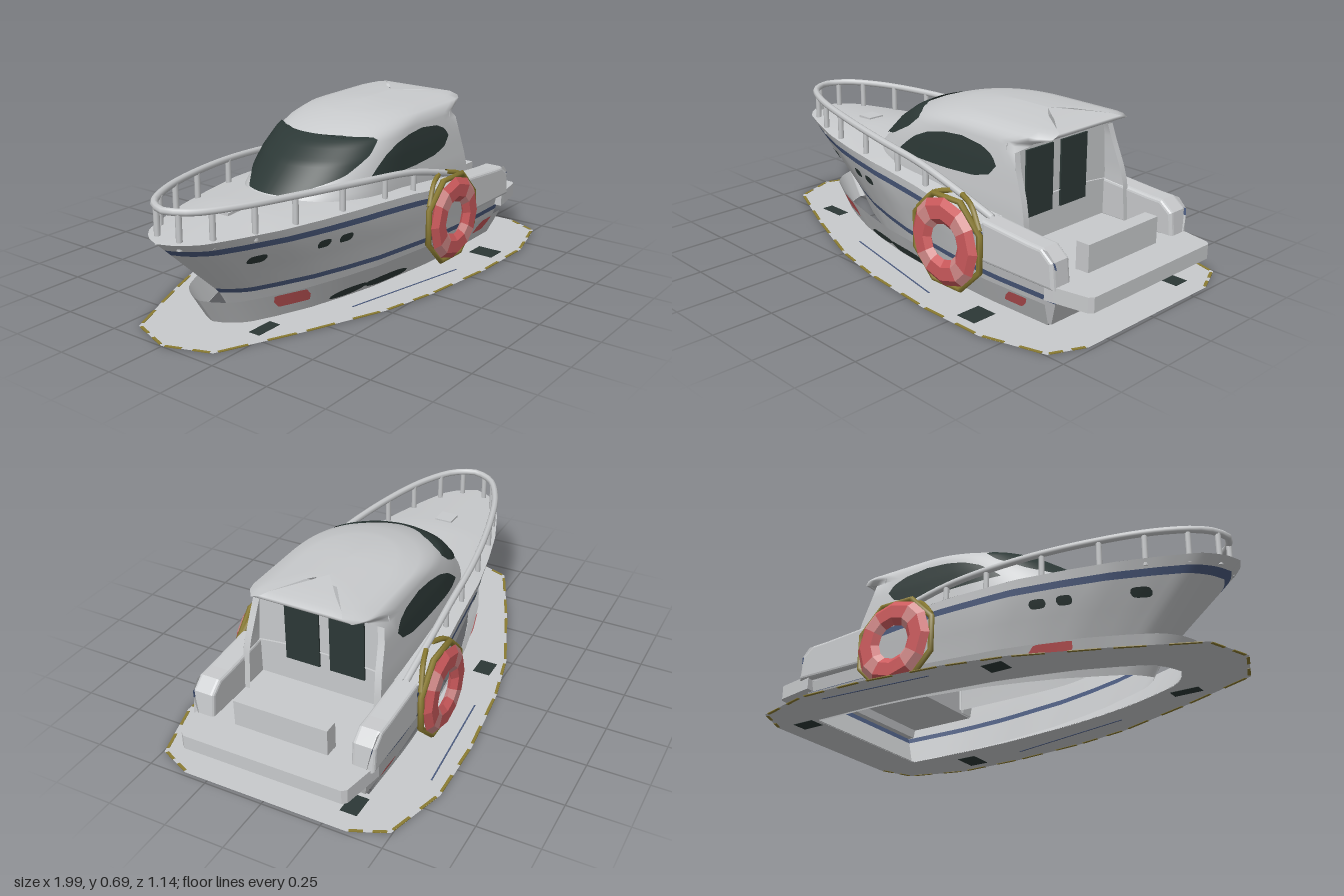
import * as THREE from 'three';

const mat = (name, color) => new THREE.MeshStandardMaterial({ name, color, side: THREE.DoubleSide });
const white = mat('hull white', 0xc8cacc), blue = mat('stripe blue', 0x4c5c80), glass = mat('dark glass', 0x2c3836),
  red = mat('buoy red', 0xcc5a5c), pink = mat('buoy band', 0xd48c8b), olive = mat('rope olive', 0x8a7b32);

// piecewise linear lookup
const table = pts => v => {
  if (v <= pts[0][0]) return pts[0][1];
  for (let i = 1; i < pts.length; i++) if (v <= pts[i][0]) {
    const [a, b] = [pts[i - 1], pts[i]];
    return a[1] + (b[1] - a[1]) * (v - a[0]) / (b[0] - a[0]);
  }
  return pts[pts.length - 1][1];
};
const shape = pts => new THREE.Shape(pts.map(p => new THREE.Vector2(...p)));

// surface defined by level: nose x, tail x, half width and plan curve
const surface = (nose, tail, width, plan) => ({
  width, nose, tail,
  point: (t, y, s) => [nose(y) + (tail(y) - nose(y)) * t, y, s * width(y) * plan(t, y)],
  z: (x, y) => width(y) * plan(Math.min(1, Math.max(0, (x - nose(y)) / (tail(y) - nose(y)))), y),
});

const beam = table([[0, 0], [.012, .14], [.03, .25], [.055, .35], [.12, .48], [.215, .64], [.32, .76], [.43, .86],
  [.645, .97], [.8, 1], [1, .985]]);
const hull = surface(table([[0, -.62], [.11, -.69], [.395, -1]]),
  table([[0, .78], [.2, .855], [.28, .85], [.33, .8]]),
  table([[0, .325], [.11, .352], [.28, .388], [.4, .392]]), (t, y) => Math.pow(beam(t), 1.35 - .9 * y));
const skirt = surface(table([[0, -.73], [.11, -.8]]), table([[0, .775], [.11, .8]]),
  table([[0, .335], [.11, .385]]), t => beam(t));
// blunt nose, with the roof drawn in at its rear corners
const cabinPlan = (t, y) => Math.pow(1 - (1 - Math.min(1, t / .5)) ** 2.6, .52)
  * (y > .6 ? 1 - .16 * Math.max(0, (t - .88) / .12) ** 2 : 1);
const cabin = surface(
  table([[.19, -.4], [.36, -.46], [.42, -.4], [.53, -.28], [.59, -.19], [.63, -.1], [.655, -.02], [.675, .08], [.686, .19], [.69, .28]]),
  table([[.19, .63], [.36, .615], [.42, .6], [.53, .56], [.59, .545], [.625, .59], [.655, .668], [.668, .665], [.68, .61], [.69, .45]]),
  table([[.19, .3], [.36, .3], [.53, .287], [.59, .278], [.63, .27], [.655, .25], [.675, .18], [.686, .08], [.69, 0]]),
  cabinPlan);
const sheer = table([[0, .395], [.25, .388], [.45, .384], [.6, .37], [.8, .33], [1, .32]]);

export function createModel() {
  const model = new THREE.Group();
  const add = (name, geo, material, parent = model) => {
    const m = new THREE.Mesh(geo, material);
    m.name = name;
    parent.add(m);
    return m;
  };
  // sheet of nu by nv cells from a rule (u, v) -> point
  const sheet = (name, material, nu, nv, fn) => {
    const pos = [], idx = [];
    for (let j = 0; j <= nv; j++) for (let i = 0; i <= nu; i++) pos.push(...fn(i / nu, j / nv));
    for (let j = 0; j < nv; j++) for (let i = 0; i < nu; i++) {
      const a = j * (nu + 1) + i, b = a + nu + 1;
      idx.push(a, a + 1, b, a + 1, b + 1, b);
    }
    const g = new THREE.BufferGeometry();
    g.setAttribute('position', new THREE.Float32BufferAttribute(pos, 3));
    g.setIndex(idx);
    g.computeVertexNormals();
    return add(name, g, material);
  };
  const box = (name, material, x0, x1, y0, y1, z0, z1) => {
    const m = add(name, new THREE.BoxGeometry(x1 - x0, y1 - y0, z1 - z0), material);
    m.position.set((x0 + x1) / 2, (y0 + y1) / 2, (z0 + z1) / 2);
  };
  // skin wrapping both sides through the bow
  const band = (name, material, surf, lo, hi, nv) => sheet(name, material, 64, nv, (u, v) => {
    const k = u * 2 - 1, t = k * k;
    return surf.point(t, lo(t) + (hi(t) - lo(t)) * v, Math.sign(k));
  });

  // hull, from keel to gunwale
  band('lowerHull', white, hull, () => 0, () => .105, 2);
  band('waterlineStripe', blue, hull, () => .105, () => .128, 1);
  band('hullSide', white, hull, () => .128, t => sheer(t) - .063, 4);
  band('upperStripe', blue, hull, t => sheer(t) - .063, t => sheer(t) - .036, 1);
  band('gunwale', white, hull, t => sheer(t) - .036, sheer, 1);
  const transom = (name, m, y0, y1) => sheet(name, m, 8, 2, (u, v) => {
    const [x, y, z] = hull.point(1, y0 + (y1 - y0) * v, 1);
    return [x, y, z * (1 - 2 * u)];
  });
  transom('transom', white, 0, .105);
  transom('transomStripe', blue, .105, .135);

  // cambered deck and hatch
  sheet('deck', white, 12, 40, (u, v) => {
    const t = .83 * v * v, k = u * 2 - 1, [x, y, z] = hull.point(t, sheer(t), 1);
    return [x, y + .034 * (1 - k * k) * Math.min(1, t * 4), z * k];
  });
  box('hatch', white, -.668, -.592, .40, .425, -.038, .038);

  // swim platform, cockpit floor, bench and rounded bulwarks
  const plat = shape([[.8, -.385], [.84, -.378], [.975, -.352], [.99, -.335], [.99, .335], [.975, .352], [.84, .378], [.8, .385]]);
  add('swimPlatform', new THREE.ExtrudeGeometry(plat, { depth: .06, bevelEnabled: false }).rotateX(Math.PI / 2), white)
    .position.y = .19;
  box('cockpitFloor', white, .49, .82, .17, .188, -.36, .36);
  box('bench', white, .785, .845, .188, .3, -.2, .2);
  const side = shape([[.5, .19], [.5, .33], [.72, .312], [.78, .31], [.825, .275], [.835, .19]]);
  for (const s of [-1, 1])
    add('bulwark', new THREE.ExtrudeGeometry(side, { depth: .064, bevelSize: .014, bevelThickness: .016, bevelSegments: 3 }), white)
      .position.z = s > 0 ? .311 : -.375;

  // cabin shell, roof and rear bulkhead
  const levels = [.19, .36, .42, .475, .53, .59, .61, .625, .64, .655, .668, .675, .686, .69];
  sheet('cabinShell', white, 64, levels.length - 1, (u, v) => {
    const k = u * 2 - 1;
    return cabin.point(k * k, levels[Math.round(v * (levels.length - 1))], Math.sign(k));
  });
  sheet('roofRearEdge', white, 8, 6, (u, v) => {
    const [x, y, z] = cabin.point(1, .645 + .045 * v, 1);
    return [x, y, z * (1 - 2 * u)];
  });
  sheet('rearBulkhead', white, 4, 16, (u, v) => {
    const y = .19 + .49 * v;
    return [.5, y, cabin.z(.5, y) * (1 - 2 * u)];
  });
  for (const s of [-1, 1]) {
    sheet('cabinRearFrame', white, 1, 12, (u, v) => {
      const y = .19 + .4 * v;
      return [cabin.tail(y), y, s * (cabin.width(y) - .028 * u)];
    });
    box('cabinDoor', glass, .5, .508, .295, .568, s * .098 - .075, s * .098 + .075);
  }

  // windscreen and side windows lie just off the shell
  const screenEnd = table([[.42, -.37], [.45, -.31], [.485, -.19], [.55, -.06], [.6, 0], [.606, -.02], [.614, -.12]]);
  sheet('windscreen', glass, 48, 20, (u, v) => {
    const y = .422 + .192 * v, k = u * 2 - 1, n = cabin.nose(y), x = n + (screenEnd(y) - n) * k * k;
    return [x - .005, y + .005, Math.sign(k) * (cabin.z(x, y) + .004)];
  });
  const winTop = table([[-.1, .46], [-.05, .5], [0, .535], [.08, .57], [.17, .59], [.27, .598], [.38, .585], [.44, .56], [.465, .525]]);
  const winLow = table([[-.1, .46], [0, .453], [.2, .453], [.35, .462], [.43, .485], [.465, .525]]);
  // rounded mark on a skin; slant leans its ends
  const mark = (name, m, surf, s, cx, cy, w, h, pow, slant = 0, off = .005) => sheet(name, m, 16, 2, (u, v) => {
    const k = u * 2 - 1, y = cy + (v - .5) * h * Math.pow(Math.max(0, 1 - Math.abs(k) ** pow), .5);
    const x = cx + k * w / 2 + slant * (y - cy);
    return [x, y, s * (surf.z(x, y) + off)];
  });
  for (const s of [-1, 1]) {
    sheet('sideWindow', glass, 32, 8, (u, v) => {
      const x = -.1 + .565 * u, y = winLow(x) + (winTop(x) - winLow(x)) * v;
      return [x, y, s * (cabin.z(x, y) + .006)];
    });
    for (const [x, w] of [[-.665, .078], [-.385, .062], [-.28, .068]]) for (const off of [.005, -.005])
      mark('porthole', glass, hull, s, x, .275, w, .036, 4, 0, off);
  }
  // scattered marks on the spray skirt
  mark('skirtRedMark', red, skirt, 1, -.51, .077, .15, .058, 12, -.6);
  mark('skirtRedMark', red, skirt, 1, .65, .077, .1, .055, 12, .8);
  mark('skirtDarkMark', glass, skirt, 1, -.23, .028, .18, .034, 3, 1.5);
  mark('skirtDarkMark', glass, skirt, 1, -.02, .028, .26, .036, 3, -1);
  mark('skirtRedMark', red, skirt, -1, -.32, .077, .17, .055, 12, -.6);
  mark('skirtRedMark', red, skirt, -1, .68, .077, .1, .055, 12, 0, -.005);
  mark('skirtDarkMark', glass, skirt, -1, -.64, .04, .11, .034, 4, .6);

  // guard rail with posts
  const railPts = [[-.96, .508, 0], [-.94, .508, .055], [-.9, .508, .105], [-.75, .507, .185], [-.5, .5, .258], [-.2, .483, .313],
    [.1, .452, .338], [.3, .405, .345], [.42, .37, .345], [.5, .345, .345]];
  const path = [...railPts.slice(1).reverse().map(p => [p[0], p[1], -p[2]]), ...railPts];
  const curve = pts => new THREE.CatmullRomCurve3(pts.map(p => new THREE.Vector3(...p)));
  add('guardRail', new THREE.TubeGeometry(curve(path), 72, .0145, 8), white);
  const railY = table(railPts.map(p => [p[0], p[1]])), railZ = table(railPts.map(p => [p[0], p[2]]));
  for (const s of [-1, 1]) for (const x of [-.94, -.85, -.7, -.53, -.3, -.06, .125]) {
    const top = railY(x), low = .365;
    add('railPost', new THREE.CylinderGeometry(.012, .012, top - low, 8), white)
      .position.set(x, (top + low) / 2, s * railZ(x));
  }

  // faceted lifebuoys with light bands, a rope behind and two ties to the rail
  for (const s of [-1, 1]) {
    const buoy = new THREE.Group();
    buoy.name = 'lifebuoy';
    buoy.position.set(.32, .215, s * .422);
    model.add(buoy);
    const arc = (name, m, from, len, n) => {
      const g = new THREE.TorusGeometry(.127, .054, 6, n, len).toNonIndexed();
      g.computeVertexNormals();
      const part = add(name, g, m, buoy);
      part.rotation.z = from;
      part.scale.z = .46;
    };
    for (let i = 0; i < 4; i++) {
      const a = i * Math.PI / 2 + Math.PI / 4;
      arc('buoyBand', pink, a - .22, .44, 1);
      arc('buoyRing', red, a + .22, Math.PI / 2 - .44, 2);
    }
    const rope = add('buoyRope', new THREE.TorusGeometry(.192, .013, 6, 8), olive, buoy);
    rope.position.z = -s * .014;
    rope.rotation.z = Math.PI / 8;
    for (const d of [-1, 1])
      add('buoyTie', new THREE.TubeGeometry(curve([[d * .17, .09, -s * .02], [d * .1, .165, -s * .045], [d * .03, .185, -s * .066]]),
        8, .011, 6), olive, buoy);
  }

  // flared spray skirt and flat water sheet with a hull opening
  band('spraySkirt', white, skirt, () => 0, () => .11, 2);
  const half = [[-1, 0], [-.93, .19], [-.6, .335], [-.25, .47], [0, .525], [.35, .565], [.66, .57], [.92, .495], [.985, .35]];
  const outline = [...half, ...half.slice(1).reverse().map(([x, z]) => [x, -z])];
  const water = shape(outline), hole = [];
  for (let i = -16; i <= 16; i++) {
    const [x, , z] = skirt.point((i / 16) ** 2, 0, Math.sign(i));
    hole.push(new THREE.Vector2(x, z));
  }
  water.holes.push(new THREE.Path(hole));
  add('waterSheet', new THREE.ShapeGeometry(water).rotateX(-Math.PI / 2), white).position.y = .0015;

  // thin lines and patches on the water sheet
  const line = (name, m, [x0, z0], [x1, z1], w) => {
    const len = Math.hypot(x1 - x0, z1 - z0);
    const b = add(name, new THREE.BoxGeometry(len, .003, w), m);
    b.position.set((x0 + x1) / 2, .0015, (z0 + z1) / 2);
    b.rotation.y = -Math.atan2(z1 - z0, x1 - x0);
  };
  outline.forEach((a, i) => {
    const b = outline[(i + 1) % outline.length];
    const at = k => [(a[0] + (b[0] - a[0]) * k) * .995, (a[1] + (b[1] - a[1]) * k) * .99];
    if (i !== half.length - 1) for (const k of [.05, .6]) line('sheetEdge', olive, at(k), at(k + .33), .012);
  });
  line('sheetLine', blue, [-.3, .345], [.28, .465], .006);
  line('sheetLine', blue, [.1, -.47], [.6, -.505], .006);
  for (const [x, z, w, d] of [[-.165, -.405, .09, .075], [.535, .46, .09, .11], [-.66, .2, .12, .05], [.85, -.31, .1, .07]])
    box('sheetPatch', glass, x - w / 2, x + w / 2, 0, .003, z - d / 2, z + d / 2);

  return model;
}
